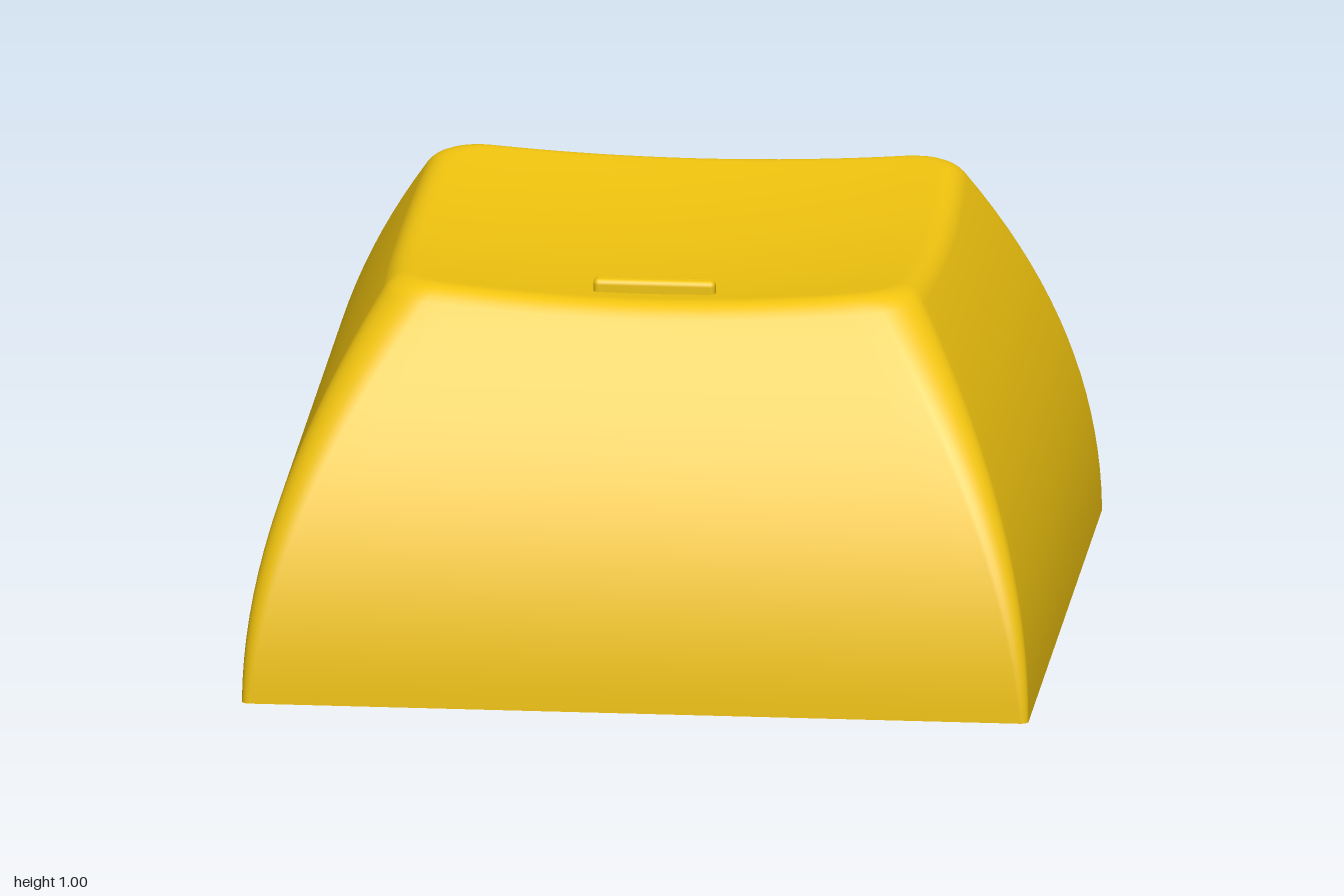
import * as THREE from 'three';
import { toCreasedNormals } from 'three/addons/utils/BufferGeometryUtils.js';
import { RoundedBoxGeometry } from 'three/addons/geometries/RoundedBoxGeometry.js';

const EDGE = 16, ARC = 8, DISH_Z = -0.08;

// Height of the spherical dish over the plan
const dish = (x, z) => 0.927 + 0.097 * (x * x + (z - DISH_Z) ** 2);

// Rounded-rectangle plan at height y; the sides curve inward as they rise
function outline(y, inset = 0, r = 0.02 + 0.1 * y) {
  const hx = 1 - 0.34 * y * y - inset;
  const front = 1 - 0.42 * y * y - inset;
  const back = -(1 - 0.25 * y * y - inset);
  const centres = [[hx - r, front - r], [r - hx, front - r], [r - hx, back + r], [hx - r, back + r]];
  const pts = [];
  centres.forEach(([cx, cz], q) => {
    const at = (c, a) => new THREE.Vector3(c[0] + r * Math.cos(a), y, c[1] + r * Math.sin(a));
    for (let i = 0; i <= ARC; i++) pts.push(at([cx, cz], (q + i / ARC) * Math.PI / 2));
    const start = pts[pts.length - 1];
    const end = at(centres[(q + 1) % 4], (q + 1) * Math.PI / 2);
    for (let i = 1; i < EDGE; i++) pts.push(start.clone().lerp(end, i / EDGE));
  });
  return pts;
}

// Skin a list of equal-length closed rings
function loft(rings) {
  const n = rings[0].length, pos = [], index = [];
  rings.forEach(ring => ring.forEach(p => pos.push(p.x, p.y, p.z)));
  for (let i = 0; i < rings.length - 1; i++) {
    for (let j = 0; j < n; j++) {
      const a = i * n + j, b = i * n + (j + 1) % n;
      index.push(a, a + n, b, b, a + n, b + n);
    }
  }
  const g = new THREE.BufferGeometry();
  g.setAttribute('position', new THREE.Float32BufferAttribute(pos, 3));
  g.setIndex(index);
  g.computeVertexNormals();
  return g;
}

function outerShell() {
  const count = outline(0).length;
  const sidePoint = (j, y) => outline(y)[j];
  const columns = [];
  for (let j = 0; j < count; j++) {
    // Find where this column of the side meets the dish
    let top = 0.97;
    for (let k = 0; k < 5; k++) {
      const p = sidePoint(j, top);
      top = dish(p.x, p.z);
    }
    const column = [];
    for (let i = 0; i <= 18; i++) column.push(sidePoint(j, (top - 0.04) * i / 18));
    // Soft rim between side and dish
    const onDish = s => {
      const c = sidePoint(j, top);
      const x = c.x * s, z = DISH_Z + (c.z - DISH_Z) * s;
      return new THREE.Vector3(x, dish(x, z), z);
    };
    const fillet = new THREE.QuadraticBezierCurve3(column[18], sidePoint(j, top), onDish(0.93));
    for (let i = 1; i <= 6; i++) column.push(fillet.getPoint(i / 6));
    // Dished top
    for (let i = 1; i <= 12; i++) column.push(onDish(0.93 * (1 - i / 12)));
    columns.push(column);
  }
  return loft(columns[0].map((_, i) => columns.map(c => c[i])));
}

function cavity(wall, ceiling) {
  const rings = [];
  for (let i = 0; i <= 12; i++) rings.push(outline(ceiling * (1 - i / 12), wall, 0.004));
  rings.unshift(rings[0].map(() => new THREE.Vector3(0, ceiling, 0)));
  return toCreasedNormals(loft(rings), 0.5);
}

// Round post with a cross-shaped socket in its lower end
function socketGeometry(radius, arm, half, depth) {
  const shape = new THREE.Shape().absarc(0, 0, radius, 0, Math.PI * 2);
  const cross = [];
  for (let q = 0; q < 4; q++) {
    const c = Math.round(Math.cos(q * Math.PI / 2)), s = Math.round(Math.sin(q * Math.PI / 2));
    for (const [x, y] of [[half, -half], [arm, -half], [arm, half]]) {
      cross.push(new THREE.Vector2(x * c - y * s, x * s + y * c));
    }
  }
  shape.holes.push(new THREE.Path(cross));
  const g = new THREE.ExtrudeGeometry(shape, { depth, bevelEnabled: false, curveSegments: 32 });
  g.rotateX(-Math.PI / 2);
  return toCreasedNormals(g, 0.5);
}

export function createModel() {
  const group = new THREE.Group();
  group.name = 'keycap';
  const yellow = new THREE.MeshStandardMaterial({ color: 0xf1c40f });
  const add = (name, geometry, x = 0, y = 0, z = 0) => {
    const mesh = new THREE.Mesh(geometry, yellow);
    mesh.name = name;
    mesh.position.set(x, y, z);
    group.add(mesh);
  };

  const wall = 0.16, ceiling = 0.8, socketDepth = 0.45, radius = 0.285;
  add('outerShell', outerShell());
  add('bottomRim', loft([outline(0, wall, 0.004), outline(0)]));
  add('cavity', cavity(wall, ceiling));

  // Mounting stem
  add('stemSocket', socketGeometry(radius, 0.22, 0.068, socketDepth));
  const upper = ceiling - socketDepth;
  add('stemUpper', new THREE.CylinderGeometry(radius, radius, upper, 64), 0, socketDepth + upper / 2, 0);

  // Raised homing bar near the front of the dish
  add('homingBar', new RoundedBoxGeometry(0.31, 0.07, 0.045, 3, 0.014), 0, 0.957, 0.463);
  return group;
}
